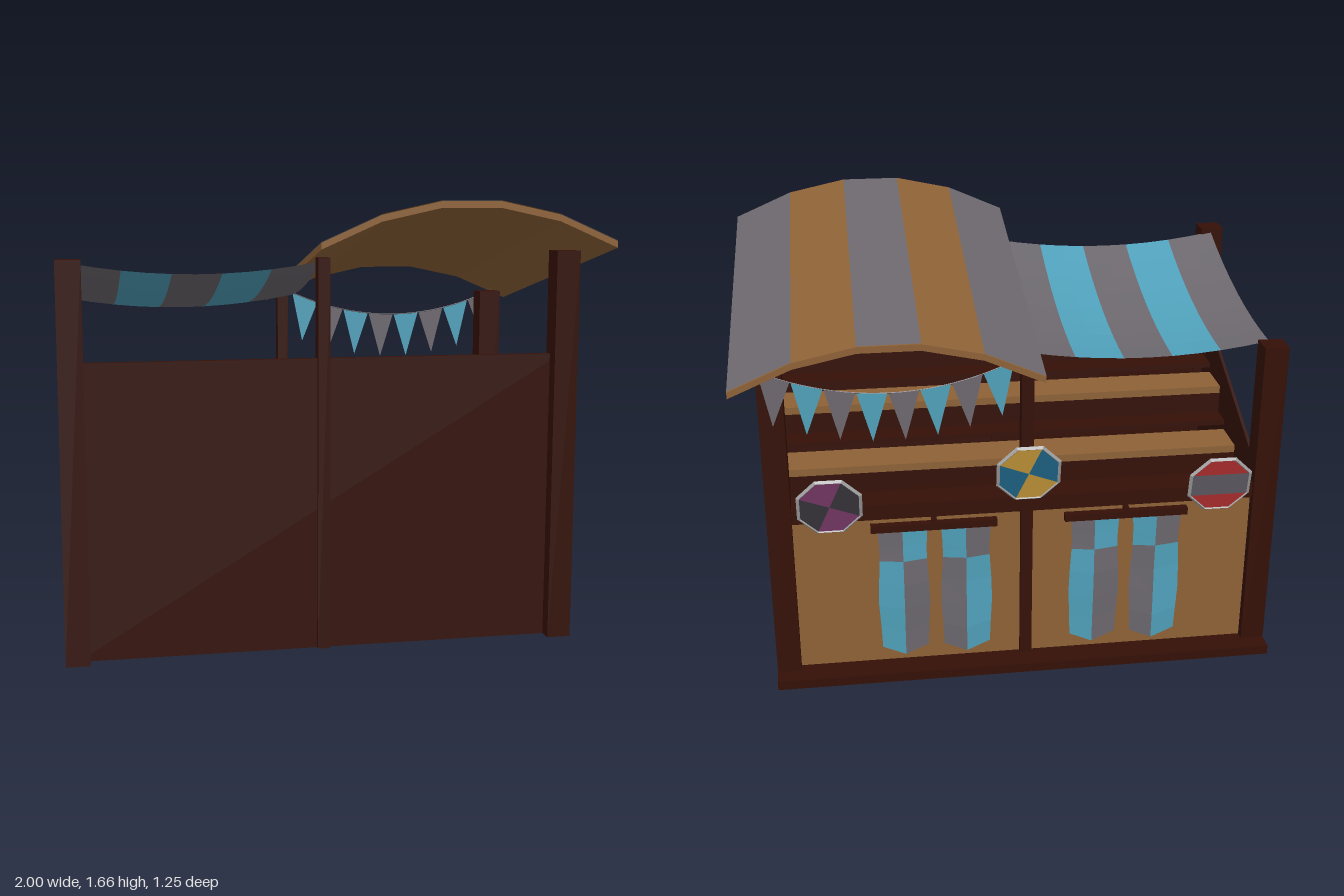
import * as THREE from 'three';

const WOOD = 0x341007, GREY = 0x6b676d, CYAN = 0x4f9fb9, TAN = 0x8d6136;

function mat(color) {
  return new THREE.MeshStandardMaterial({ color, flatShading: true, side: THREE.DoubleSide });
}

function add(parent, name, geometry, color) {
  const mesh = new THREE.Mesh(geometry, mat(color));
  mesh.name = name;
  parent.add(mesh);
  return mesh;
}

// Box given by its extents on each axis
function box(parent, name, [x0, x1], [y0, y1], [z0, z1], color = WOOD) {
  const g = new THREE.BoxGeometry(x1 - x0, y1 - y0, z1 - z0);
  g.translate((x0 + x1) / 2, (y0 + y1) / 2, (z0 + z1) / 2);
  return add(parent, name, g, color);
}

// Grid surface whose points follow rule(u, v) -> [x, y, z]
function sheet(parent, name, nu, nv, color, rule) {
  const g = new THREE.PlaneGeometry(1, 1, nu, nv);
  const p = g.attributes.position;
  for (let i = 0; i < p.count; i++) p.setXYZ(i, ...rule(p.getX(i) + 0.5, p.getY(i) + 0.5));
  g.computeVertexNormals();
  return add(parent, name, g, color);
}

function extrude(points, depth) {
  const shape = new THREE.Shape(points.map(([x, y]) => new THREE.Vector2(x, y)));
  return new THREE.ExtrudeGeometry(shape, { depth, bevelEnabled: false });
}

function buildFrame(root) {
  const g = new THREE.Group();
  g.name = 'frame';
  root.add(g);
  for (const [x, top] of [[-0.955, 1.455], [0.865, 1.475]]) {
    const xs = [x - 0.045, x + 0.045];
    box(g, 'frontPost', xs, [0, top], [0.41, 0.5]);
    box(g, 'backPost', xs, [0, 1.27], [-0.5, -0.41]);
    // Side wall with sloping top
    const wall = extrude([[-0.42, 0], [0.42, 0], [0.42, 1.095], [-0.42, 0.722]], 0.012);
    wall.rotateY(-Math.PI / 2);
    wall.translate(x + 0.006, 0, 0);
    add(g, 'sideWall', wall, WOOD);
  }
  box(g, 'frontMiddlePost', [-0.07, -0.025], [0, 1.455], [0.41, 0.465]);
  box(g, 'backMiddlePost', [-0.07, -0.025], [0, 1.26], [-0.485, -0.435]);
  box(g, 'frontWall', [-0.955, 0.865], [0, 1.09], [0.42, 0.447]);
  box(g, 'backPanel', [-0.94, 0.85], [0.02, 0.68], [-0.465, -0.445], TAN);
  box(g, 'backRail', [-0.91, 0.82], [0.66, 0.72], [-0.485, -0.435]);
  box(g, 'backSill', [-1, 0.91], [0, 0.037], [-0.565, -0.41]);
}

// Three rising benches with risers and raised footboards behind them
function buildSeats(root) {
  const g = new THREE.Group();
  g.name = 'seating';
  root.add(g);
  const xs = [-0.949, 0.859];
  for (let i = 0; i < 3; i++) {
    const z = -0.29 + 0.25 * i, y = 0.55 + 0.155 * i;
    box(g, 'bench', xs, [y - 0.03, y], [z - 0.08, z + 0.08], TAN);
    box(g, 'riser', xs, [y - 0.12, y - 0.03], [z - 0.08, z - 0.065]);
    box(g, 'footboard', xs, [y + 0.02, y + 0.04], [z + 0.08, Math.min(z + 0.185, 0.42)]);
  }
}

// Arched roof that slopes down to the back
function buildRoof(root) {
  const g = new THREE.Group();
  g.name = 'archedRoof';
  root.add(g);
  const slope = 0.208;
  const top = [[-0.09, 1.383], [0.125, 1.478], [0.34, 1.525], [0.56, 1.525], [0.78, 1.478], [1, 1.383]];
  const under = top.map(([x, y]) => [x, y - 0.024]).reverse();
  const body = extrude([...top, ...under], 1.25);
  body.translate(0, 0, -0.625);
  const p = body.attributes.position;
  for (let i = 0; i < p.count; i++) p.setY(i, p.getY(i) + slope * p.getZ(i));
  body.computeVertexNormals();
  add(g, 'roofBoards', body, TAN);
  for (let i = 0; i < 5; i++) {
    const [a, b] = [top[i], top[i + 1]];
    sheet(g, 'roofStripe', 1, 1, i % 2 ? TAN : GREY, (u, v) => {
      const z = 0.625 - 1.25 * v;
      return [a[0] + (b[0] - a[0]) * u, a[1] + (b[1] - a[1]) * u + slope * z + 0.003, z];
    });
  }
}

// Sagging striped cloth over the open bay
function buildCanopy(root) {
  const g = new THREE.Group();
  g.name = 'clothCanopy';
  root.add(g);
  for (let i = 0; i < 5; i++) {
    sheet(g, 'clothStripe', 2, 8, i % 2 ? CYAN : GREY, (u, v) => {
      const s = (i + u) / 5;
      const y = 1.44 - 0.175 * v - 0.16 * v * (1 - v) - 0.17 * s * (1 - s);
      return [-0.95 + 0.9 * s, y, 0.415 - 0.83 * v];
    });
  }
}

// String of pennants between the back posts
function buildBunting(root) {
  const g = new THREE.Group();
  g.name = 'bunting';
  root.add(g);
  const ropeY = x => 1.17 + 0.1 * ((x - 0.45) / 0.45) ** 2;
  const pts = [];
  for (let i = 0; i <= 8; i++) pts.push(new THREE.Vector3(i * 0.1125, ropeY(i * 0.1125), -0.5));
  add(g, 'rope', new THREE.TubeGeometry(new THREE.CatmullRomCurve3(pts), 24, 0.002, 4), GREY);
  for (let i = 0; i < 8; i++) {
    const x = 0.06 + 0.1125 * i, w = 0.054;
    const slope = (ropeY(x + w) - ropeY(x - w)) / 2;
    const pennant = extrude([[-w, -slope], [slope * 0.6, -0.185], [w, slope]], 0.001);
    pennant.translate(x, ropeY(x), -0.502);
    add(g, 'pennant', pennant, i % 2 ? GREY : CYAN);
  }
}

// Pair of hanging banners on a rod
function buildBanners(root, cx) {
  const g = new THREE.Group();
  g.name = 'bannerPair';
  g.position.set(cx, 0, -0.48);
  root.add(g);
  box(g, 'bannerRod', [-0.235, 0.235], [0.61, 0.638], [-0.018, 0.01]);
  add(g, 'rodPeg', new THREE.CylinderGeometry(0.012, 0.012, 0.03, 6).rotateX(Math.PI / 2), WOOD).position.y = 0.645;
  const rows = [0, 0.25, 1], w = 0.0925;
  for (const side of [-1, 1]) {
    for (let c = 0; c < 2; c++) {
      for (let r = 0; r < 2; r++) {
        const outer = (c === 1) === (side === 1);
        sheet(g, 'bannerCloth', 1, 4, outer === (r === 1) ? CYAN : GREY, (u, v) => {
          const s = c - 1 + u;
          const t = rows[r] + (rows[r + 1] - rows[r]) * (1 - v);
          const bottom = 0.07 + 0.04 * Math.abs(s);
          const wave = 0.003 * Math.sin(t * 7 + side);
          return [side * 0.118 + w * s * (1 - 0.05 * Math.sin(t * 8)), 0.615 + (bottom - 0.615) * t, -0.012 + wave];
        });
      }
    }
  }
}

// Eight-sided shield, quartered or banded, leaning outward
function buildShield(root, x, y, colors, banded) {
  const g = new THREE.Group();
  g.name = 'shield';
  g.position.set(x, y, -0.503);
  g.rotation.x = -0.18;
  root.add(g);
  const R = 0.12;
  const v = [];
  for (let k = 0; k < 8; k++) {
    const a = (k + 0.5) * Math.PI / 4;
    v.push([R * Math.cos(a), R * Math.sin(a)]);
  }
  const parts = banded
    ? [[v[0], v[1], v[2], v[3]], [v[0], v[3], v[4], v[7]], [v[4], v[5], v[6], v[7]]]
    : [0, 2, 4, 6].map(k => [[0, 0], v[k], v[k + 1], v[(k + 2) % 8]]);
  parts.forEach((points, i) => {
    add(g, 'shieldField', extrude(points, 0.01).translate(0, 0, -0.005), colors[i % 2]);
  });
  const rim = new THREE.TorusGeometry(R, 0.009, 4, 8).rotateZ(Math.PI / 8);
  add(g, 'shieldRim', rim, 0xa0a0a0);
}

export function createModel() {
  const root = new THREE.Group();
  root.name = 'spectatorStand';
  buildFrame(root);
  buildSeats(root);
  buildRoof(root);
  buildCanopy(root);
  buildBunting(root);
  buildBanners(root, 0.3);
  buildBanners(root, -0.425);
  buildShield(root, 0.68, 0.735, [0x7a3a68, 0x3a363c], false);
  buildShield(root, -0.05, 0.825, [0xc4963a, 0x1f6486], false);
  buildShield(root, -0.775, 0.735, [0xb03030, 0x605c64], true);
  return root;
}
